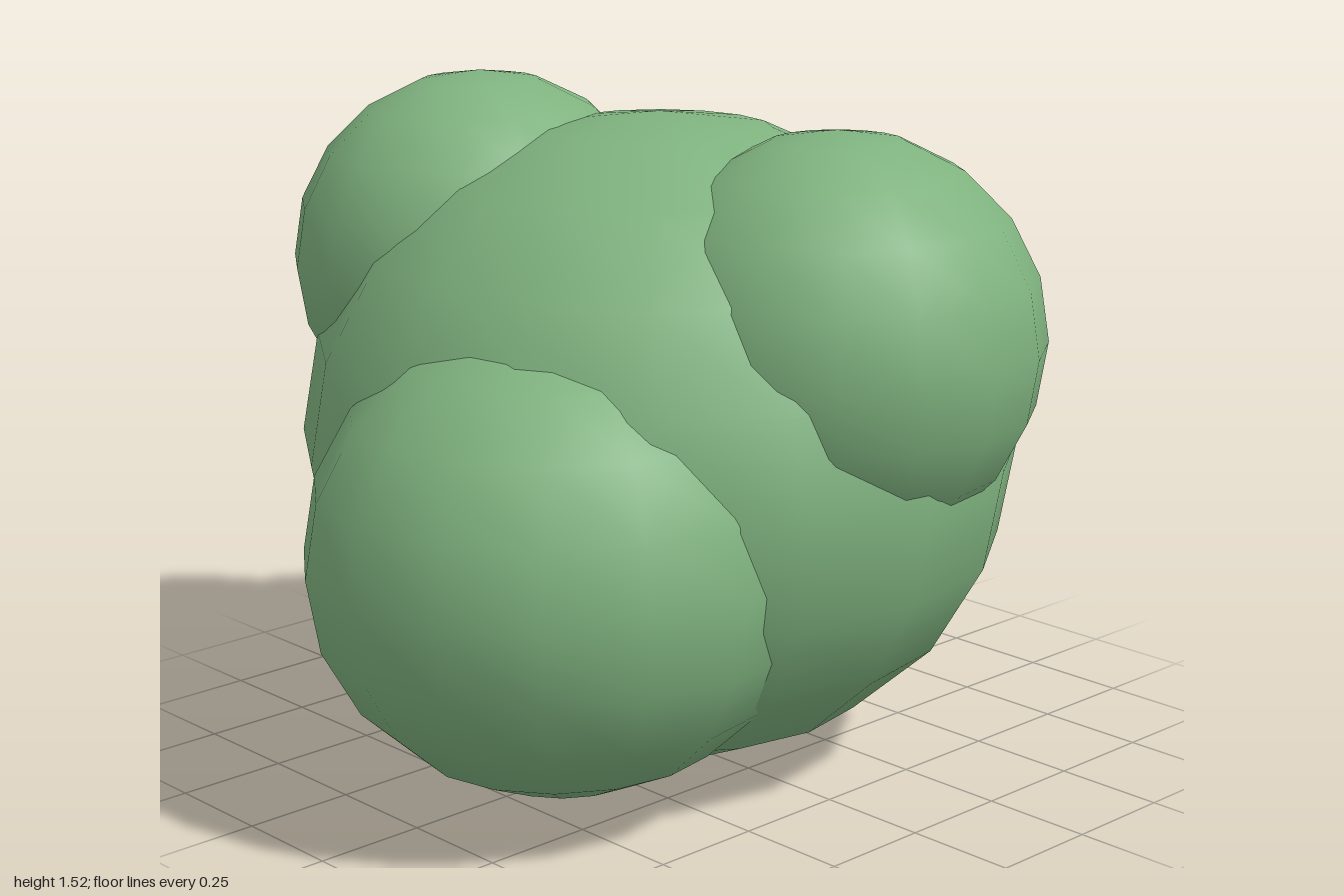
import * as THREE from 'three';

export function createModel() {
  const model = new THREE.Group();
  model.name = 'bush';

  const leafGreen = new THREE.MeshStandardMaterial({ color: 0x7fb27f });
  leafGreen.name = 'leaf green';

  // One low-poly, smooth-shaded ball of foliage, slightly stretched per axis
  const ball = new THREE.SphereGeometry(1, 16, 10);
  const addClump = (name, position, radii) => {
    const clump = new THREE.Mesh(ball, leafGreen);
    clump.name = name;
    clump.position.set(...position);
    clump.scale.set(...radii);
    model.add(clump);
  };

  // Large core with four smaller clumps around it
  addClump('coreClump', [0, 0.727, -0.04], [0.8, 0.727, 0.81]);
  addClump('leftClump', [0.45, 0.605, -0.235], [0.55, 0.535, 0.515]);
  addClump('rightClump', [-0.42, 0.58, 0.12], [0.58, 0.525, 0.54]);
  addClump('frontClump', [0.09, 1.0, 0.41], [0.465, 0.455, 0.45]);
  addClump('backClump', [-0.175, 1.1, -0.44], [0.435, 0.42, 0.42]);

  return model;
}
